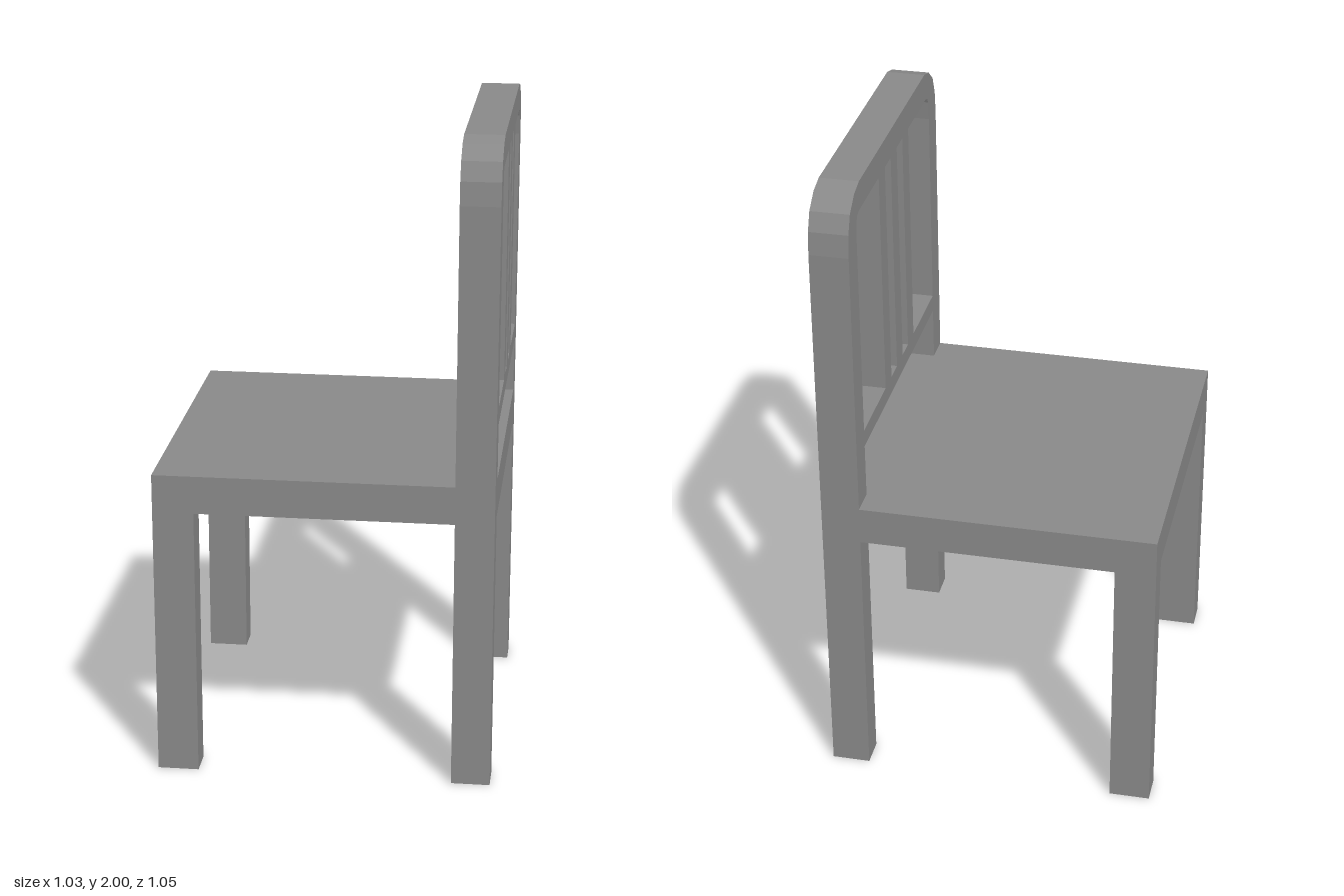
import * as THREE from 'three';

const material = new THREE.MeshStandardMaterial({ color: 0x898989, flatShading: true });

const BACK = 0.516, FRONT = -0.516;   // x extent
const HALF = 0.526, INNER = 0.437;    // half width, and inner faces of the posts
const FRAME_X = 0.397;                // seat side of the back frame
const SEAT_LOW = 0.85, SEAT_TOP = 0.968;
const RAIL_LOW = 1.14, RAIL_TOP = 1.195;
const WINDOW_TOP = 1.913;

// Box given by its lower and upper corners
function box(name, [x0, y0, z0], [x1, y1, z1]) {
  const geometry = new THREE.BoxGeometry(x1 - x0, y1 - y0, z1 - z0);
  geometry.translate((x0 + x1) / 2, (y0 + y1) / 2, (z0 + z1) / 2);
  const mesh = new THREE.Mesh(geometry, material);
  mesh.name = name;
  return mesh;
}

// Right half of an outline followed by its mirror image
function mirrored(half) {
  const points = half.map(([u, y]) => new THREE.Vector2(u, y));
  const other = half.map(([u, y]) => new THREE.Vector2(-u, y)).reverse();
  return [...points, ...other];
}

// Rear legs, seat rail, cross rail and rounded top in one cut-out panel
function createBackFrame() {
  const shape = new THREE.Shape(mirrored([
    [INNER, SEAT_LOW], [INNER, 0], [HALF, 0],
    [HALF, 1.82], [0.519, 1.89], [0.496, 1.945], [0.446, 1.985], [0.39, 2],
  ]));
  shape.holes.push(
    new THREE.Path(mirrored([[INNER, SEAT_TOP], [INNER, RAIL_LOW]])),
    new THREE.Path(mirrored([
      [INNER, RAIL_TOP], [INNER, 1.83], [0.43, 1.89], [0.424, 1.905], [0.4, WINDOW_TOP],
    ])),
  );
  const geometry = new THREE.ExtrudeGeometry(shape, { depth: BACK - FRAME_X, bevelEnabled: false });
  geometry.rotateY(Math.PI / 2);
  geometry.translate(FRAME_X, 0, 0);
  const mesh = new THREE.Mesh(geometry, material);
  mesh.name = 'backFrame';
  return mesh;
}

export function createModel() {
  const chair = new THREE.Group();
  chair.name = 'chair';

  chair.add(createBackFrame());
  chair.add(box('seat', [FRONT, SEAT_LOW, -HALF], [FRAME_X, SEAT_TOP, HALF]));

  // Front legs
  chair.add(box('frontLegNear', [FRONT, 0, INNER], [-0.39, SEAT_LOW, HALF]));
  chair.add(box('frontLegFar', [FRONT, 0, -HALF], [-0.39, SEAT_LOW, -INNER]));

  // Upright slats in the backrest window
  for (const z of [-0.143, -0.002, 0.139]) {
    chair.add(box('backSlat', [FRAME_X, RAIL_TOP, z - 0.036], [BACK, WINDOW_TOP, z + 0.036]));
  }
  return chair;
}
